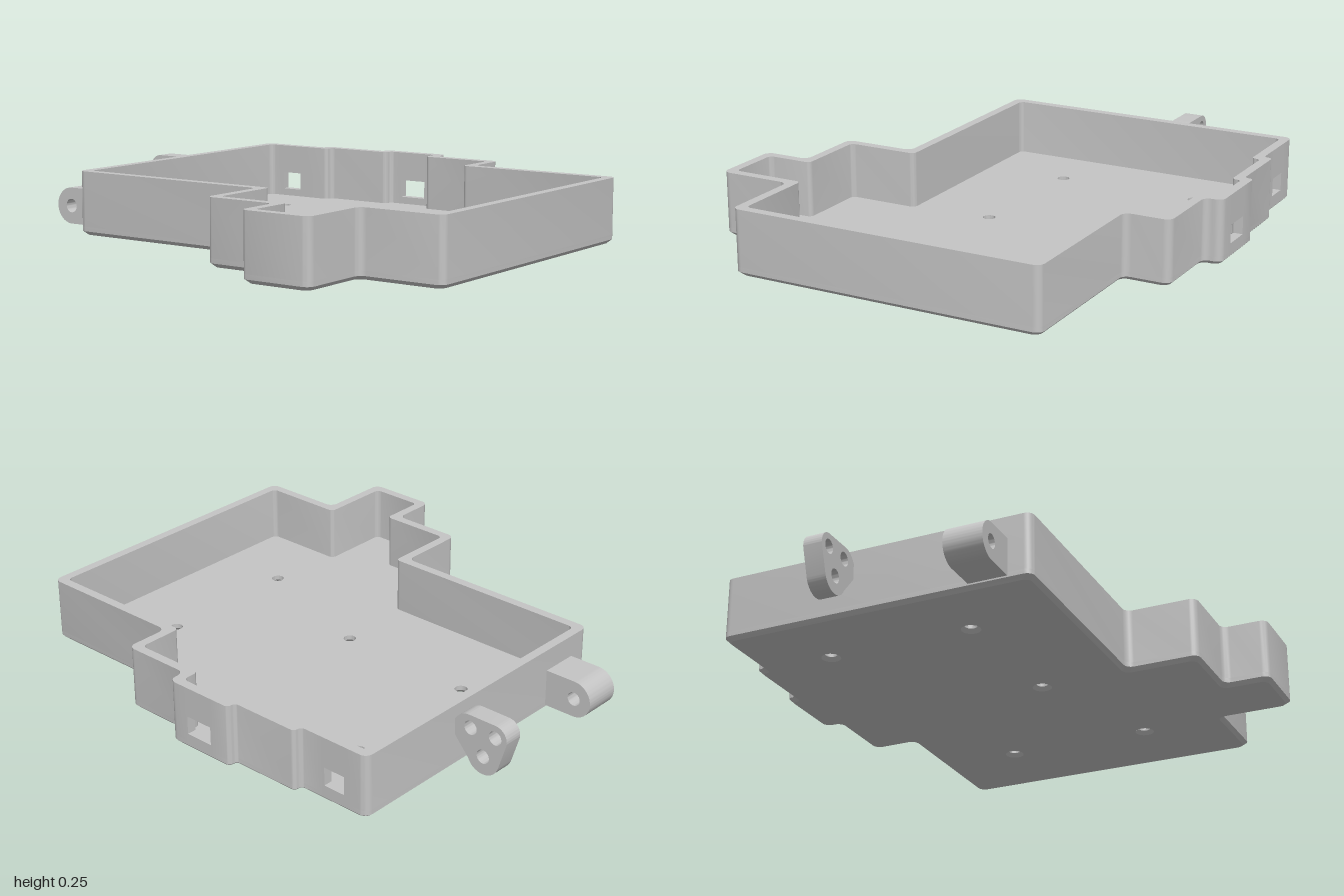
import * as THREE from 'three';
import { toCreasedNormals } from 'three/addons/utils/BufferGeometryUtils.js';

const WALL = 0.036, FLOOR = 0.033, HEIGHT = 0.25, CHAMFER = 0.015;
const V = (x, z) => new THREE.Vector2(x, -z); // plan point, stored as (x, -z)

// Tray outline in plan, clockwise, split at the two port windows in the back wall
const backRun = [[-0.585, -0.815], [-0.48, -0.815], [-0.48, -0.85], [-0.2, -0.85],
  [-0.2, -0.886], [-0.11, -0.886]].map(p => V(...p));
const mainRun = [[0.005, -0.886], [0.09, -0.886], [0.09, -0.815], [0.379, -0.815],
  [0.379, -0.635], [1, -0.635], [1, 0.596], [0.665, 0.596], [0.665, 0.885],
  [0.38, 0.885], [0.38, 0.704], [0.09, 0.704], [0.09, 0.419], [-0.775, 0.419],
  [-0.775, -0.815], [-0.675, -0.815]].map(p => V(...p));
const fullLoop = [...backRun, ...mainRun];

const dirOf = (a, b) => b.clone().sub(a).normalize();
// Edge directions into and out of point i (repeated at the ends of an open run)
function dirs(pts, i, closed) {
  const n = pts.length;
  const a = closed || i > 0 ? dirOf(pts[(i + n - 1) % n], pts[i]) : null;
  const b = closed || i < n - 1 ? dirOf(pts[i], pts[(i + 1) % n]) : null;
  return [a || b, b || a];
}

// Move a right-angled run inward by d
function inset(pts, d, closed) {
  return pts.map((p, i) => {
    const [a, b] = dirs(pts, i, closed);
    const q = p.clone().add(new THREE.Vector2(a.y, -a.x).multiplyScalar(d));
    if (Math.abs(a.dot(b)) < 0.5) q.add(new THREE.Vector2(b.y, -b.x).multiplyScalar(d));
    return q;
  });
}

// Round every right-angled corner of a run
function rounded(pts, radius, closed, steps = 6) {
  const out = [], n = pts.length;
  pts.forEach((p, i) => {
    const [a, b] = dirs(pts, i, closed);
    if (Math.abs(a.dot(b)) > 0.5) { out.push(p); return; }
    const r = Math.min(radius, 0.48 * p.distanceTo(pts[(i + n - 1) % n]),
      0.48 * p.distanceTo(pts[(i + 1) % n]));
    const c = p.clone().addScaledVector(a, -r).addScaledVector(b, r);
    for (let k = 0; k <= steps; k++) {
      const t = k / steps * Math.PI / 2;
      out.push(c.clone().addScaledVector(b, -r * Math.cos(t)).addScaledVector(a, r * Math.sin(t)));
    }
  });
  return out;
}

function addHole(shape, x, y, r) {
  shape.holes.push(new THREE.Path().absarc(x, y, r, 0, Math.PI * 2, true));
}

function extrude(shape, depth) {
  return toCreasedNormals(
    new THREE.ExtrudeGeometry(shape, { depth, bevelEnabled: false, curveSegments: 20 }), 0.6);
}

// Extrude a plan shape upward from y0 to y1
function slab(shape, y0, y1) {
  return extrude(shape, y1 - y0).rotateX(-Math.PI / 2).translate(0, y0, 0);
}

// Ribbon joining the inset underside to the full outline
function chamferGeometry(low, high) {
  const pos = [];
  const put = (p, y) => pos.push(p.x, y, -p.y);
  low.forEach((l0, i) => {
    const j = (i + 1) % low.length;
    put(l0, 0); put(high[i], CHAMFER); put(high[j], CHAMFER);
    put(l0, 0); put(high[j], CHAMFER); put(low[j], 0);
  });
  const g = new THREE.BufferGeometry();
  g.setAttribute('position', new THREE.Float32BufferAttribute(pos, 3));
  g.computeVertexNormals();
  return toCreasedNormals(g, 0.6);
}

export function createModel() {
  const model = new THREE.Group();
  model.name = 'enclosureTray';
  // Double-sided for the open underside and countersinks
  const grey = new THREE.MeshStandardMaterial({ color: 0xc4c4c4, side: THREE.DoubleSide });
  grey.name = 'grey plastic';

  function add(name, geometry) {
    const mesh = new THREE.Mesh(geometry, grey);
    mesh.name = name;
    model.add(mesh);
  }

  // Floor with five countersunk screw holes and a chamfered lower edge
  const screws = [[-0.483, -0.528], [0.667, -0.313], [-0.483, 0.048], [0.092, 0.07], [0.667, 0.265]];
  const outer = rounded(fullLoop, 0.03, true);
  const under = rounded(inset(fullLoop, CHAMFER, true), 0.03, true);
  const floor = new THREE.Shape(outer), underside = new THREE.Shape(under);
  for (const [x, z] of screws) {
    addHole(floor, x, -z, 0.024);
    addHole(underside, x, -z, 0.037);
    // Profile runs downward so the cone faces its axis
    const cone = [new THREE.Vector2(0.024, CHAMFER), new THREE.Vector2(0.037, 0)];
    add('screwCountersink', new THREE.LatheGeometry(cone, 24).translate(x, 0, z));
  }
  add('floor', slab(floor, CHAMFER, FLOOR));
  // Half turn about x makes the sheet face down; the plan is mirrored to match
  const mirrored = new THREE.Shape(underside.getPoints().map(p => new THREE.Vector2(p.x, -p.y)));
  for (const [x, z] of screws) addHole(mirrored, x, z, 0.037);
  add('underside', new THREE.ShapeGeometry(mirrored, 20).rotateX(Math.PI / 2));
  add('bottomChamfer', chamferGeometry(under, outer));

  // Walls between the windows
  for (const [name, run] of [['backWall', backRun], ['mainWall', mainRun]]) {
    const inner = rounded(inset(run, WALL, false), 0.02, false).reverse();
    add(name, slab(new THREE.Shape([...rounded(run, 0.03, false), ...inner]), FLOOR, HEIGHT));
  }

  // Wall below and above each port window
  for (const [x0, x1, z] of [[-0.675, -0.585, -0.815], [-0.11, 0.005, -0.886]]) {
    for (const [name, y0, y1] of [['windowSill', FLOOR, 0.062], ['windowLintel', 0.133, HEIGHT]]) {
      add(name, new THREE.BoxGeometry(x1 - x0, y1 - y0, WALL)
        .translate((x0 + x1) / 2, (y0 + y1) / 2, z + WALL / 2));
    }
  }

  // Front hinge lug: half-round block with one hole
  const lug = new THREE.Shape();
  lug.moveTo(-0.77, 0.165);
  lug.lineTo(-0.9, 0.165);
  lug.absarc(-0.9, 0.093, 0.072, Math.PI / 2, Math.PI * 1.5, false);
  lug.lineTo(-0.77, 0.021);
  addHole(lug, -0.9, 0.093, 0.027);
  add('frontLug', extrude(lug, 0.15).translate(0, 0, 0.178));

  // Rear lug: rounded triangle with three holes
  const deg = Math.PI / 180;
  const ear = new THREE.Shape();
  ear.moveTo(-0.835, 0.235);
  ear.lineTo(-0.95, 0.235);
  ear.absarc(-0.95, 0.185, 0.05, 90 * deg, 197 * deg, false);
  ear.absarc(-0.9, 0.092, 0.07, 197 * deg, 335 * deg, false);
  ear.lineTo(-0.77, 0.14);
  ear.lineTo(-0.77, 0.19);
  ear.quadraticCurveTo(-0.797, 0.235, -0.835, 0.235);
  for (const [x, y] of [[-0.95, 0.185], [-0.843, 0.185], [-0.9, 0.092]]) addHole(ear, x, y, 0.027);
  add('rearLug', extrude(ear, 0.075).translate(0, 0, -0.352));

  return model;
}
